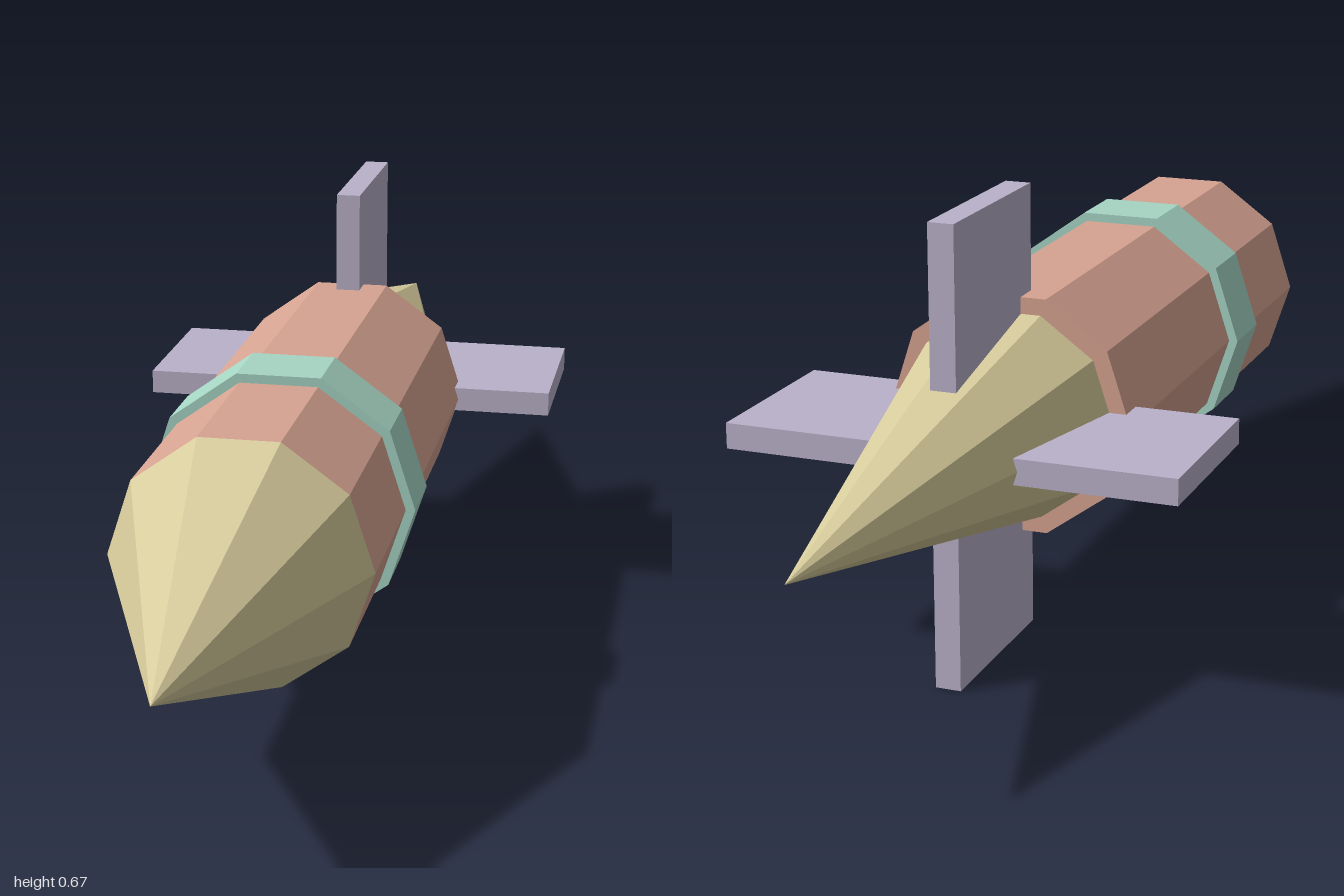
import * as THREE from 'three';

const SIDES = 10;
const AXIS_Y = 0.335;

function material(name, color) {
  const m = new THREE.MeshStandardMaterial({ color, flatShading: true });
  m.name = name;
  return m;
}

export function createModel() {
  const model = new THREE.Group();
  model.name = 'rocket';
  const terracotta = material('terracotta', 0xd6a391);
  const sand = material('sand', 0xd6cb9b);
  const mint = material('mint', 0xa6d5c4);
  const lavender = material('lavender', 0xb9b1c9);

  // Ten-sided section along z, with corners on the x axis
  function section(name, mat, zBack, zFront, rBack, rFront) {
    const geo = new THREE.CylinderGeometry(rFront, rBack, zFront - zBack, SIDES, 1, false, Math.PI / 2);
    geo.rotateX(Math.PI / 2);
    const mesh = new THREE.Mesh(geo, mat);
    mesh.name = name;
    mesh.position.set(0, AXIS_Y, (zBack + zFront) / 2);
    model.add(mesh);
  }

  section('body', terracotta, -0.3, 0.535, 0.186, 0.186);
  section('noseCone', sand, 0.535, 1, 0.186, 0);
  section('tailCone', sand, -1, -0.3, 0, 0.16);
  section('band', mint, 0.175, 0.283, 0.2, 0.2);

  // Four rectangular fins around the tail, rooted inside the cone
  const inner = 0.07, outer = 0.335;
  const finGeo = new THREE.BoxGeometry(outer - inner, 0.038, 0.273);
  finGeo.translate((inner + outer) / 2, 0, 0);
  for (let i = 0; i < 4; i++) {
    const fin = new THREE.Mesh(finGeo, lavender);
    fin.name = ['leftFin', 'topFin', 'rightFin', 'bottomFin'][i];
    fin.position.set(0, AXIS_Y, -0.396);
    fin.rotation.z = (i * Math.PI) / 2;
    model.add(fin);
  }

  return model;
}
